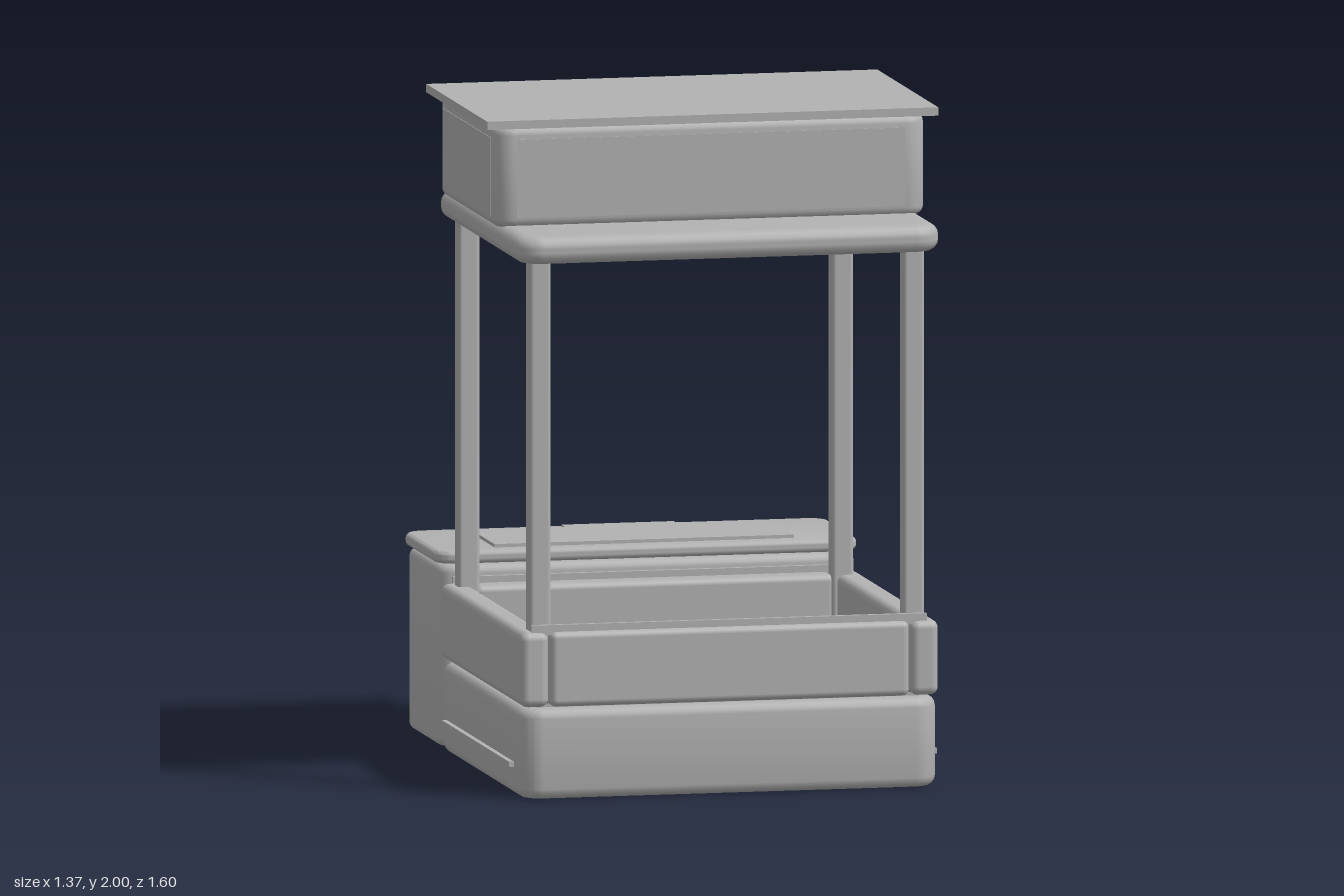
import * as THREE from 'three';
import { toCreasedNormals } from 'three/addons/utils/BufferGeometryUtils.js';
import { RoundedBoxGeometry } from 'three/addons/geometries/RoundedBoxGeometry.js';

const grey = new THREE.MeshStandardMaterial({ color: 0xb2b2b2 });
grey.name = 'grey';

export function createModel() {
  const model = new THREE.Group();
  model.name = 'canopyCart';

  const add = (name, geometry) => {
    const mesh = new THREE.Mesh(geometry, grey);
    mesh.name = name;
    model.add(mesh);
    return mesh;
  };
  // Boxes are given by their extents: x0, x1, y0, y1, z0, z1
  const place = (geo, [x0, x1, y0, y1, z0, z1]) =>
    geo.translate((x0 + x1) / 2, (y0 + y1) / 2, (z0 + z1) / 2);
  const size = ([x0, x1, y0, y1, z0, z1]) => [x1 - x0, y1 - y0, z1 - z0];
  const box = (name, ...e) => add(name, place(new THREE.BoxGeometry(...size(e)), e));
  const rounded = (name, r, ...e) => add(name, place(new RoundedBoxGeometry(...size(e), 3, r), e));

  // Upright block with plan corners of radius r and softened rims of radius e
  const slab = (name, r, e, ...ext) => {
    const [w, h, d] = size(ext);
    const a = w / 2 - e, b = d / 2 - e, c = r - e;
    const s = new THREE.Shape();
    s.moveTo(-a + c, -b);
    s.lineTo(a - c, -b);
    s.absarc(a - c, -b + c, c, -Math.PI / 2, 0);
    s.absarc(a - c, b - c, c, 0, Math.PI / 2);
    s.absarc(-a + c, b - c, c, Math.PI / 2, Math.PI);
    s.absarc(-a + c, -b + c, c, Math.PI, Math.PI * 1.5);
    const geo = new THREE.ExtrudeGeometry(s, {
      depth: h - 2 * e, bevelThickness: e, bevelSize: e, bevelSegments: 4, curveSegments: 6,
    });
    geo.translate(0, 0, -h / 2 + e).rotateX(-Math.PI / 2);
    return add(name, place(toCreasedNormals(geo, 0.6), ext));
  };

  // Tray: solid base with four walls on top
  slab('base', 0.07, 0.03, -0.635, 0.635, 0, 0.27, -0.3, 0.79);
  box('trayFloor', -0.58, 0.58, 0.26, 0.285, -0.25, 0.74);
  rounded('frontWall', 0.02, -0.545, 0.545, 0.275, 0.5, 0.7, 0.79);
  rounded('backWall', 0.02, -0.545, 0.545, 0.275, 0.5, -0.3, -0.21);
  box('frontRail', -0.6, 0.6, 0.49, 0.52, 0.76, 0.775);
  box('backRail', -0.6, 0.6, 0.49, 0.52, -0.29, -0.275);

  for (const s of [-1, 1]) {
    const side = s < 0 ? 'right' : 'left';
    const span = (a, b) => (s > 0 ? [a, b] : [-b, -a]);
    rounded(side + 'Wall', 0.025, ...span(0.55, 0.635), 0.275, 0.5, -0.3, 0.79);
    box(side + 'TrimStrip', ...span(0.63, 0.65), 0.087, 0.103, -0.21, 0.69);
    // Posts and downlights at both ends
    for (const [end, z, lampZ] of [['Front', 0.72, 0.54], ['Back', -0.23, -0.05]]) {
      rounded(side + end + 'Post', 0.012, ...span(0.535, 0.6), 0.28, 1.62, z - 0.03, z + 0.03);
      const ring = [[0.05, 1.602], [0.05, 1.59], [0.035, 1.572], [0.025, 1.572], [0.022, 1.59], [0, 1.59]]
        .reverse().map(([x, y]) => new THREE.Vector2(x, y));
      const lamp = add(side + end + 'Downlight', toCreasedNormals(new THREE.LatheGeometry(ring, 24), 0.5));
      lamp.position.set(s * 0.455, 0, lampZ);
    }
    // Shallow side panel on the roof box
    box(side + 'RoofPanel', ...span(0.65, 0.657), 1.705, 1.94, -0.165, 0.475);
  }

  // Canopy, roof box and flat roof board
  slab('canopy', 0.08, 0.035, -0.645, 0.645, 1.6, 1.682, -0.31, 0.8);
  slab('roofBox', 0.06, 0.025, -0.655, 0.655, 1.675, 1.977, -0.23, 0.535);
  box('roofFrontPanel', -0.59, 0.59, 1.705, 1.94, 0.53, 0.537);
  box('roofBackPanel', -0.59, 0.59, 1.705, 1.94, -0.232, -0.225);
  box('roofBoard', -0.685, 0.685, 1.975, 2, -0.26, 0.555);

  // Rear storage box with overhanging lid
  slab('storageBox', 0.06, 0.025, -0.635, 0.635, 0.005, 0.55, -0.757, -0.306);
  box('lidSeal', -0.59, 0.59, 0.54, 0.565, -0.72, -0.35);
  slab('storageLid', 0.06, 0.015, -0.643, 0.643, 0.553, 0.592, -0.772, -0.306);
  const tab = new THREE.Shape([
    [-0.455, 0.36], [0.455, 0.36], [0.455, 0.67], [0.17, 0.67],
    [0.17, 0.715], [-0.17, 0.715], [-0.17, 0.67], [-0.455, 0.67],
  ].map(([x, y]) => new THREE.Vector2(x, y)));
  const tabGeo = new THREE.ExtrudeGeometry(tab, { depth: 0.012, bevelEnabled: false });
  add('lidPanel', tabGeo.rotateX(-Math.PI / 2).translate(0, 0.59, 0));
  box('rearTrimStrip', -0.6, -0.12, 0.462, 0.476, -0.765, -0.75);

  // Lock: plate, round knob in a collar, and keypad
  rounded('lockPlate', 0.014, -0.108, 0.108, 0.17, 0.43, -0.787, -0.75);
  add('lockCollar', new THREE.TorusGeometry(0.053, 0.01, 8, 28).translate(0, 0.355, -0.788));
  add('lockKnob', new THREE.CylinderGeometry(0.036, 0.036, 0.02, 24).rotateX(Math.PI / 2).translate(0, 0.355, -0.79));
  box('lockGrip', -0.009, 0.009, 0.325, 0.385, -0.8, -0.79);
  for (let i = 0; i < 4; i++) {
    for (let j = 0; j < 3; j++) {
      const x = -0.048 + i * 0.032, y = 0.212 + j * 0.027;
      box('keypadButton', x - 0.012, x + 0.012, y - 0.01, y + 0.01, -0.792, -0.78);
    }
  }
  return model;
}
